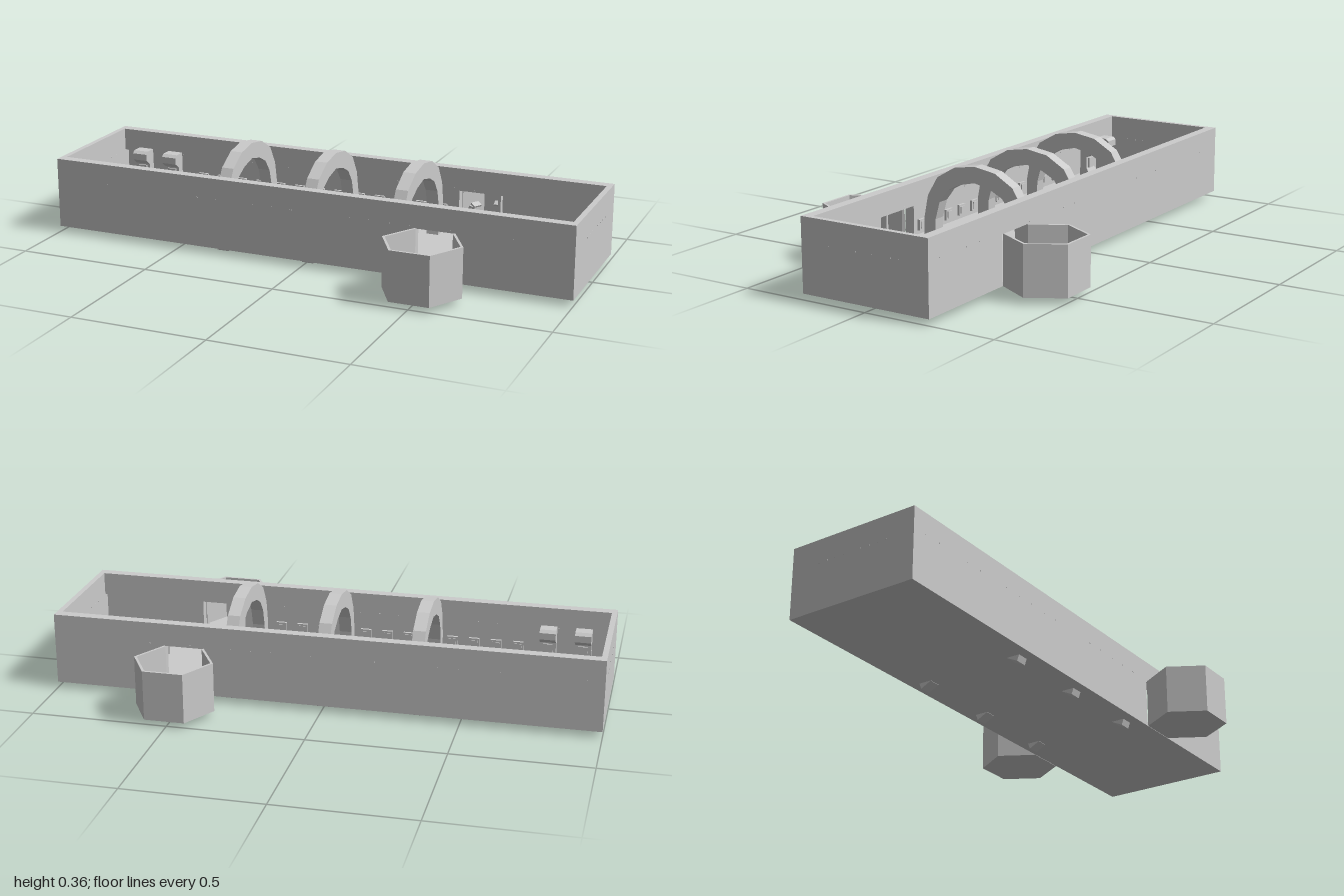
import * as THREE from 'three';

const grey = new THREE.MeshStandardMaterial({ color: 0xcccccc, flatShading: true });

export function createModel() {
  const root = new THREE.Group();
  root.name = 'hallModule';

  const add = (parent, name, geometry, x = 0, y = 0, z = 0) => {
    const mesh = new THREE.Mesh(geometry, grey);
    mesh.name = name;
    mesh.position.set(x, y, z);
    parent.add(mesh);
    return mesh;
  };
  // Box given by its limits on each axis
  const block = (parent, name, [x0, x1], [y0, y1], [z0, z1]) =>
    add(parent, name, new THREE.BoxGeometry(x1 - x0, y1 - y0, z1 - z0),
      (x0 + x1) / 2, (y0 + y1) / 2, (z0 + z1) / 2);
  const shapeOf = (pts) => new THREE.Shape(pts.map(([x, y]) => new THREE.Vector2(x, y)));
  const extrude = (shape, depth) => new THREE.ExtrudeGeometry(shape, { depth, bevelEnabled: false });
  const polar = (r, degrees) => {
    const a = THREE.MathUtils.degToRad(degrees);
    return [r * Math.cos(a), r * Math.sin(a)];
  };
  // Upright thin wall following an open outline seen from above
  const thinWall = (pts, scale, height) => {
    const inner = pts.map(([x, y]) => [x * scale, y * scale]).reverse();
    return extrude(shapeOf([...pts, ...inner]), height).rotateX(-Math.PI / 2);
  };

  // Hull floor and end walls
  block(root, 'hullFloor', [-1, 1], [0.025, 0.04], [-0.255, 0.255]);
  for (const s of [-1, 1]) {
    block(root, 'endWall', [s * 0.99 - 0.01, s * 0.99 + 0.01], [0.04, 0.29], [-0.255, 0.255]);
    for (let i = -4; i <= 4; i++) {
      if (i !== 0) block(root, 'endStud', [s * 0.99 - 0.011, s * 0.99 + 0.011], [0.2, 0.204], [i * 0.035 - 0.003, i * 0.035 + 0.003]);
    }
  }

  // Side walls: outer skin with doorway, upper band, lower ledge, wall fittings
  for (const s of [-1, 1]) {
    const side = new THREE.Group();
    side.name = s > 0 ? 'frontWall' : 'backWall';
    if (s < 0) side.scale.z = -1;
    root.add(side);

    const skin = shapeOf([[-0.98, 0.04], [0.43, 0.04], [0.43, 0.205], [0.58, 0.205],
      [0.58, 0.04], [0.98, 0.04], [0.98, 0.29], [-0.98, 0.29]]);
    add(side, 'wallSkin', extrude(skin, 0.013), 0, 0, 0.242);
    block(side, 'upperBand', [-0.98, 0.98], [0.205, 0.29], [0.218, 0.242]);
    block(side, 'lowerLedge', [-0.98, 0.43], [0.04, 0.085], [0.218, 0.242]);
    block(side, 'lowerLedge', [0.58, 0.98], [0.04, 0.085], [0.218, 0.242]);
    for (const x of [0.42, 0.58]) block(side, 'doorJamb', [x, x + 0.01], [0.04, 0.205], [0.218, 0.242]);

    for (let x = -0.64; x < 0.38; x += 0.083) {
      block(side, 'wallScreen', [x - 0.02, x + 0.02], [0.1, 0.14], [0.232, 0.243]);
      block(side, 'screenInset', [x - 0.013, x + 0.013], [0.107, 0.133], [0.229, 0.233]);
    }
    for (let x = -0.94; x < 0.96; x += 0.075) {
      block(side, 'wallStud', [x - 0.003, x + 0.003], [0.21, 0.214], [0.217, 0.2555]);
    }

    // Tall wall consoles with an overhanging head and a stepped foot
    const consoleShape = shapeOf([[0.22, 0.04], [0.162, 0.04], [0.162, 0.085], [0.18, 0.1],
      [0.19, 0.12], [0.19, 0.165], [0.163, 0.185], [0.163, 0.21], [0.175, 0.22], [0.22, 0.22]]);
    for (const x of [-0.885, -0.755]) {
      const g = extrude(consoleShape, 0.06).rotateY(-Math.PI / 2);
      add(side, 'wallConsole', g, x + 0.03, 0, 0);
      block(side, 'consoleScreen', [x - 0.018, x + 0.018], [0.12, 0.16], [0.184, 0.191]);
    }
  }

  // Three faceted arches across the hull
  const outer = [[0, 0.362], [0.085, 0.348], [0.158, 0.305], [0.2, 0.235], [0.217, 0.15], [0.217, 0.03], [0.207, 0.003]];
  const inner = [[0.165, 0.024], [0.172, 0.08], [0.168, 0.15], [0.15, 0.215], [0.115, 0.262], [0.065, 0.288], [0, 0.303]];
  const half = [...outer, ...inner];
  const mirrored = half.slice(1, -1).reverse().map(([z, y]) => [-z, y]);
  for (const x of [-0.335, 0.005, 0.345]) {
    const g = extrude(shapeOf([...half, ...mirrored]), 0.046).rotateY(-Math.PI / 2);
    add(root, 'arch', g, x + 0.023, 0, 0);
  }

  // Hexagonal side bays, open towards the hull
  for (const s of [-1, 1]) {
    const bay = new THREE.Group();
    bay.name = s > 0 ? 'frontBay' : 'backBay';
    bay.position.set(0.505, 0.025, s * 0.383);
    if (s > 0) bay.rotation.y = Math.PI;
    root.add(bay);
    const corners = [-60, 0, 60, 120, 180, 240].map((a) => polar(0.146, a));
    add(bay, 'bayWall', thinWall(corners, 0.93, 0.183));
    add(bay, 'bayFloor', extrude(shapeOf(corners), 0.015).rotateX(-Math.PI / 2));
    // Small consoles on the three far walls of the back bay
    if (s < 0) {
      for (const a of [30, 90, 150]) {
        const unit = new THREE.Group();
        unit.name = 'bayConsole';
        unit.rotation.y = THREE.MathUtils.degToRad(a);
        bay.add(unit);
        block(unit, 'consoleBody', [0.085, 0.118], [0.015, 0.055], [-0.012, 0.012]);
        const desk = block(unit, 'consoleDesk', [0.078, 0.1], [0.06, 0.068], [-0.018, 0.018]);
        desk.rotation.z = 0.5;
      }
    }
  }

  // Low octagonal enclosure with flared entrance and round centre plinth
  const pod = new THREE.Group();
  pod.name = 'octagonEnclosure';
  pod.position.set(0.8, 0.04, 0);
  root.add(pod);
  const ring = [-112.5, -67.5, -22.5, 22.5, 67.5, 112.5].map((a) => polar(0.112, a));
  const path = [[-0.13, -0.064], [-0.085, -0.066], ...ring, [-0.085, 0.066], [-0.13, 0.064]];
  add(pod, 'enclosureWall', thinWall(path, 0.94, 0.06));
  add(pod, 'plinth', new THREE.CylinderGeometry(0.055, 0.06, 0.012, 24), 0, 0.006, 0);
  for (const a of [-90, 0, 90]) {
    const panel = new THREE.Group();
    panel.name = 'enclosurePanel';
    panel.rotation.y = THREE.MathUtils.degToRad(a);
    pod.add(panel);
    block(panel, 'panelScreen', [0.09, 0.1], [0.02, 0.055], [-0.02, 0.02]);
  }
  return root;
}
